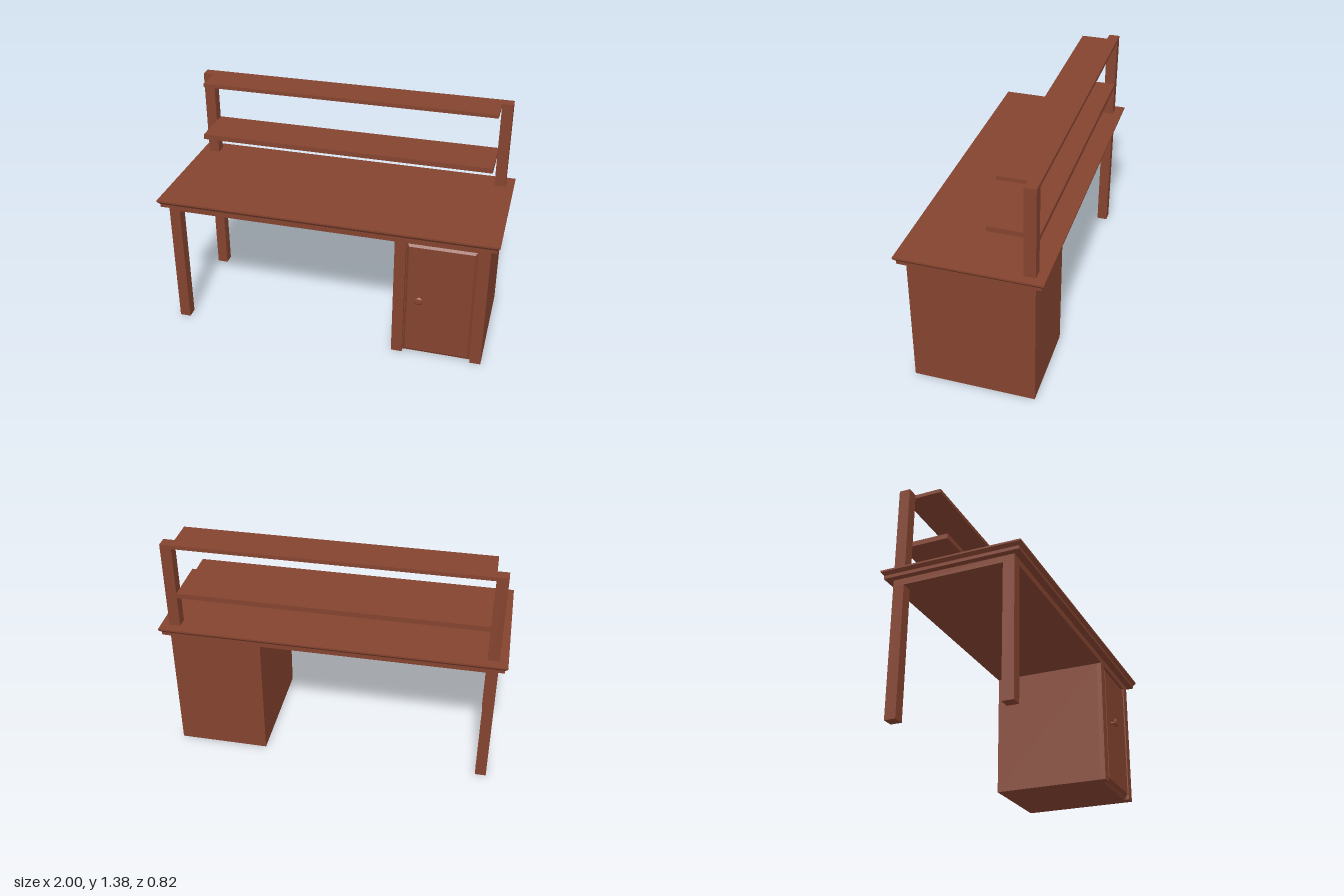
import * as THREE from 'three';

const wood = new THREE.MeshStandardMaterial({ color: 0x84432f });

// Box given by its extents on each axis
function block(name, [x0, x1], [y0, y1], [z0, z1]) {
  const geo = new THREE.BoxGeometry(x1 - x0, y1 - y0, z1 - z0);
  geo.translate((x0 + x1) / 2, (y0 + y1) / 2, (z0 + z1) / 2);
  const mesh = new THREE.Mesh(geo, wood);
  mesh.name = name;
  return mesh;
}

// Pull in the vertices accepted by the test, so a box gets sloping sides
function taper(mesh, test, cx, cy, dx, dy, dz) {
  const p = mesh.geometry.attributes.position;
  for (let i = 0; i < p.count; i++) {
    const x = p.getX(i), y = p.getY(i), z = p.getZ(i);
    if (test(x, y, z)) p.setXYZ(i, x - Math.sign(x - cx) * dx, y - Math.sign(y - cy) * dy, z - Math.sign(z) * dz);
  }
  mesh.geometry = mesh.geometry.toNonIndexed();
  mesh.geometry.computeVertexNormals();
  return mesh;
}

export function createModel() {
  const desk = new THREE.Group();
  desk.name = 'desk';
  const outer = 0.95, inner = 0.885, depth = 0.355, post = 0.065;

  // Moulded top: lower slab, sloping moulding, overhanging board
  const top = new THREE.Group();
  top.name = 'deskTop';
  top.add(
    block('lowerSlab', [-0.985, 0.985], [0.803, 0.822], [-0.395, 0.395]),
    taper(block('moulding', [-1, 1], [0.822, 0.84], [-0.41, 0.41]), (x, y) => y < 0.83, 0, 0, 0.015, 0, 0.015),
    block('topBoard', [-1, 1], [0.84, 0.85], [-0.41, 0.41]),
    block('underframe', [-outer, outer], [0.765, 0.803], [-depth, depth])
  );
  desk.add(top);

  // Open side legs
  for (const z of [-depth, depth - post]) {
    desk.add(block(z < 0 ? 'backLeg' : 'frontLeg', [-outer, -inner], [0, 0.765], [z, z + post]));
  }

  // Cabinet with corner stiles and a bevelled door set between them
  const cabinet = new THREE.Group();
  cabinet.name = 'cabinet';
  cabinet.add(
    block('cabinetBody', [0.413, outer], [0, 0.765], [-depth, 0.325]),
    block('innerStile', [0.413, 0.478], [0, 0.765], [0.325, depth]),
    block('outerStile', [inner, outer], [0, 0.765], [0.325, depth]),
    block('doorEdge', [0.478, inner], [0.008, 0.765], [0.325, 0.335]),
    taper(block('doorPanel', [0.482, 0.881], [0.012, 0.761], [0.335, 0.353]),
      (x, y, z) => z > 0.345, 0.68, 0.4, 0.014, 0.018, 0)
  );

  // Turned knob
  const profile = [[0, 0], [0.008, 0], [0.008, 0.029], [0.02, 0.029], [0.026, 0.034],
    [0.026, 0.039], [0.018, 0.046], [0, 0.048]].map(([r, y]) => new THREE.Vector2(r, y));
  const knobGeo = new THREE.LatheGeometry(profile, 16).toNonIndexed();
  knobGeo.computeVertexNormals();
  const knob = new THREE.Mesh(knobGeo, wood);
  knob.name = 'doorKnob';
  knob.rotation.x = Math.PI / 2;
  knob.position.set(0.57, 0.408, 0.352);
  cabinet.add(knob);
  desk.add(cabinet);

  // Raised shelves between two posts
  const rack = new THREE.Group();
  rack.name = 'shelfRack';
  for (const x of [-outer, inner]) {
    rack.add(block(x < 0 ? 'rightPost' : 'leftPost', [x, x + post], [0.85, 1.38], [-depth, -0.29]));
  }
  rack.add(
    block('lowerShelf', [-inner, inner], [1.04, 1.07], [-depth, -0.073]),
    block('upperShelf', [-inner, inner], [1.358, 1.38], [-depth, -0.13])
  );
  desk.add(rack);
  return desk;
}
